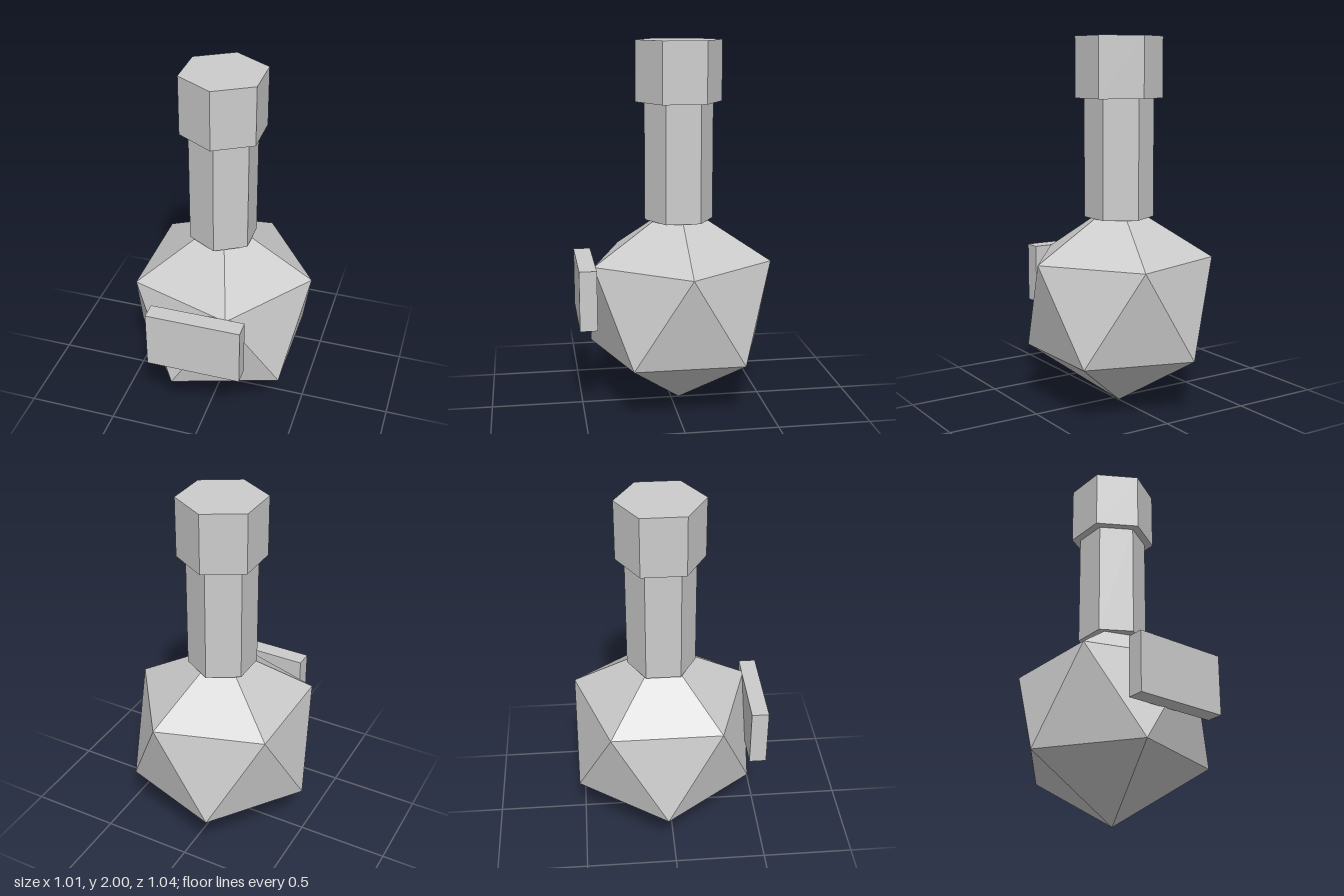
import * as THREE from 'three';
import { ConvexGeometry } from 'three/addons/geometries/ConvexGeometry.js';

const AXIS_Z = -0.043; // depth of the bottle's vertical axis

export function createModel() {
  const group = new THREE.Group();
  const material = new THREE.MeshStandardMaterial({ color: 0xcccccc, flatShading: true });

  const add = (name, geometry, x, y, z) => {
    const mesh = new THREE.Mesh(geometry, material);
    mesh.name = name;
    mesh.position.set(x, y, z);
    group.add(mesh);
  };

  // Faceted body: an icosahedron standing on one corner
  const R = 0.565;
  const ringRadius = R * 2 / Math.sqrt(5);
  const ringHeight = R / Math.sqrt(5);
  const points = [new THREE.Vector3(0, R, 0), new THREE.Vector3(0, -R, 0)];
  for (let i = 0; i < 10; i++) {
    const a = i * Math.PI / 5;
    const y = i % 2 === 0 ? ringHeight : -ringHeight;
    points.push(new THREE.Vector3(ringRadius * Math.cos(a), y, ringRadius * Math.sin(a)));
  }
  add('body', new ConvexGeometry(points), 0, R + 0.002, AXIS_Z);

  // Six-sided neck and stopper, corners facing front and back
  const hexPrism = (name, radius, y0, y1) =>
    add(name, new THREE.CylinderGeometry(radius, radius, y1 - y0, 6), 0, (y0 + y1) / 2, AXIS_Z);
  hexPrism('neck', 0.187, 1.037, 1.675);
  hexPrism('stopper', 0.234, 1.675, 2);

  // Flat label plate on the front
  add('label', new THREE.BoxGeometry(0.515, 0.325, 0.093), 0, 0.662, 0.4745);

  return group;
}
